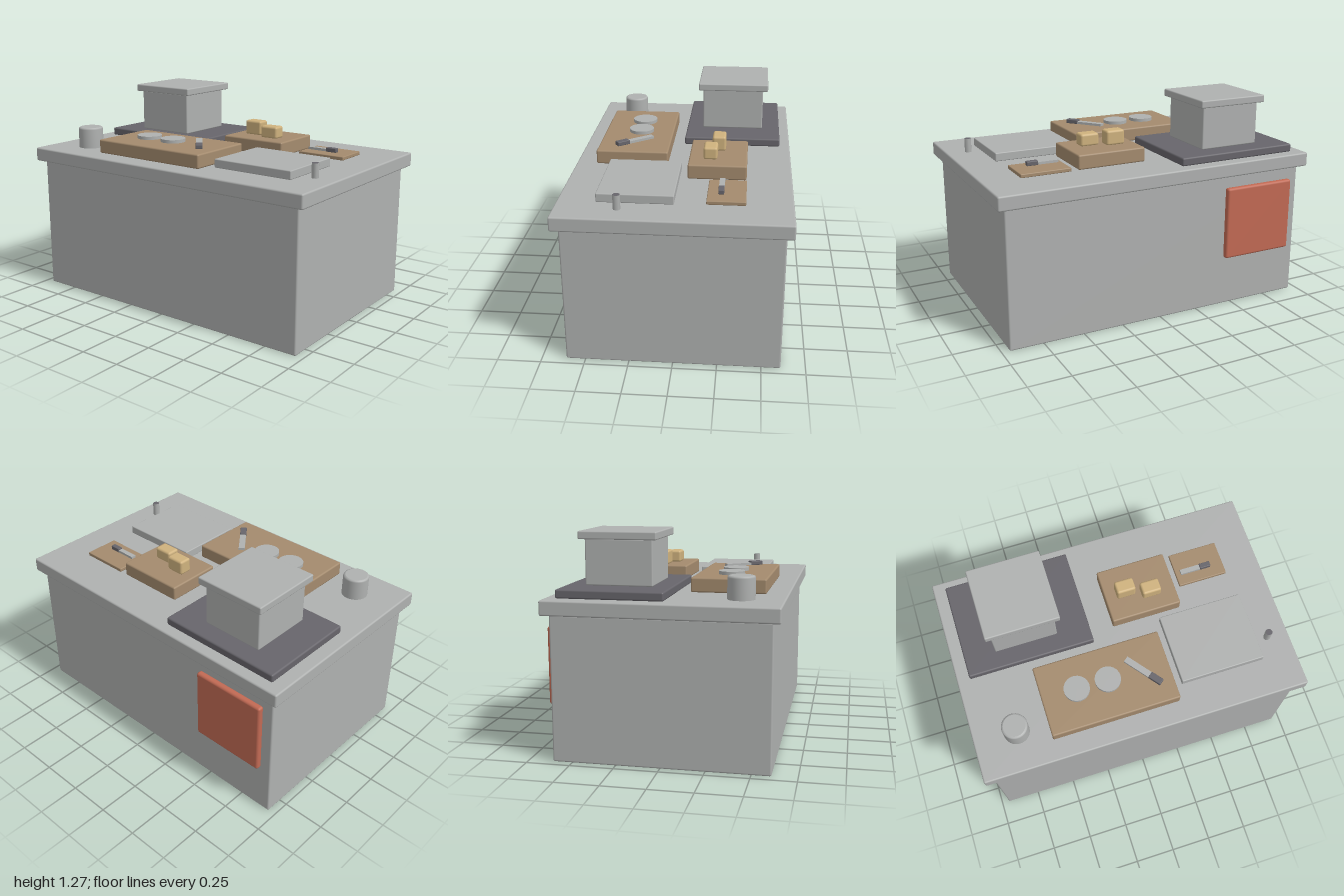
import * as THREE from 'three';
import { RoundedBoxGeometry } from 'three/addons/geometries/RoundedBoxGeometry.js';

const material = (name, color) => {
  const m = new THREE.MeshStandardMaterial({ color });
  m.name = name;
  return m;
};

export function createModel() {
  const grey = material('grey', 0xafb1b0);
  const dark = material('charcoal', 0x67656b);
  const wood = material('wood', 0xa48b6e);
  const tan = material('tan', 0xcfb27e);
  const red = material('red', 0xc26a54);

  const model = new THREE.Group();
  model.name = 'kitchenCounter';

  const add = (parent, name, geometry, mat, x = 0, y = 0, z = 0) => {
    const mesh = new THREE.Mesh(geometry, mat);
    mesh.name = name;
    mesh.position.set(x, y, z);
    parent.add(mesh);
    return mesh;
  };

  // Softly rounded block given by its extents along each axis
  const block = (name, mat, [x0, x1], [y0, y1], [z0, z1], radius = 0.01) =>
    add(model, name, new RoundedBoxGeometry(x1 - x0, y1 - y0, z1 - z0, 2, radius), mat,
      (x0 + x1) / 2, (y0 + y1) / 2, (z0 + z1) / 2);

  // Cabinet, worktop and the panel on the back
  block('cabinet', grey, [-0.955, 0.955], [0, 0.83], [-0.61, 0.61]);
  block('worktop', grey, [-1, 1], [0.83, 0.915], [-0.65, 0.65]);
  block('backPanel', red, [-0.89, -0.43], [0.31, 0.755], [-0.646, -0.606], 0.014);

  // Stove with its box and lid
  block('stovePlate', dark, [-0.92, -0.145], [0.915, 0.965], [-0.585, 0.02]);
  block('stoveBox', grey, [-0.73, -0.345], [0.965, 1.226], [-0.472, -0.084], 0.008);
  block('stoveLid', grey, [-0.76, -0.315], [1.224, 1.27], [-0.503, -0.056], 0.008);

  // Boards and tray
  block('frontBoard', wood, [-0.55, 0.23], [0.915, 1.0], [0.092, 0.526]);
  block('rearBoard', wood, [-0.005, 0.425], [0.915, 1.003], [-0.385, -0.042]);
  block('smallBoard', wood, [0.47, 0.776], [0.915, 0.938], [-0.388, -0.172], 0.005);
  block('tray', grey, [0.275, 0.79], [0.915, 0.967], [0.002, 0.432], 0.006);

  // Bread pieces
  block('breadLeft', tan, [0.065, 0.182], [1.0, 1.09], [-0.254, -0.173], 0.014);
  block('breadRight', tan, [0.213, 0.33], [1.0, 1.075], [-0.21, -0.128], 0.014);

  // Round discs on the front board
  const discGeometry = new THREE.CylinderGeometry(0.077, 0.077, 0.02, 32);
  for (const x of [-0.335, -0.145]) add(model, 'disc', discGeometry, grey, x, 1.01, 0.297);

  // Pot with a rounded rim
  const pot = [[0, 0], [0.077, 0], [0.077, 0], [0.077, 0.118], [0.0735, 0.1265], [0.065, 0.13], [0.065, 0.13], [0, 0.13]]
    .map(([r, y]) => new THREE.Vector2(r, y));
  add(model, 'pot', new THREE.LatheGeometry(pot, 32), grey, -0.74, 0.915, 0.41);

  // Tap post with a dark top
  add(model, 'post', new THREE.CylinderGeometry(0.021, 0.021, 0.085, 8), [grey, dark, grey], 0.866, 0.9575, 0.303);

  // Knife: blade starts at the origin and runs along +x to the handle
  const knife = (name, blade, handle, width, x, y, z, turn) => {
    const group = new THREE.Group();
    group.name = name;
    group.position.set(x, y, z);
    group.rotation.y = turn;
    add(group, 'blade', new THREE.BoxGeometry(blade, 0.015, width), grey, blade / 2, 0.0135, 0);
    add(group, 'handle', new RoundedBoxGeometry(handle, 0.026, width * 1.05, 2, 0.004), dark, blade + handle / 2, 0.017, 0);
    model.add(group);
  };
  knife('boardKnife', 0.173, 0.082, 0.038, -0.008, 1.0, 0.212, -0.906);
  knife('smallKnife', 0.124, 0.068, 0.031, 0.5, 0.938, -0.249, 0);

  return model;
}
